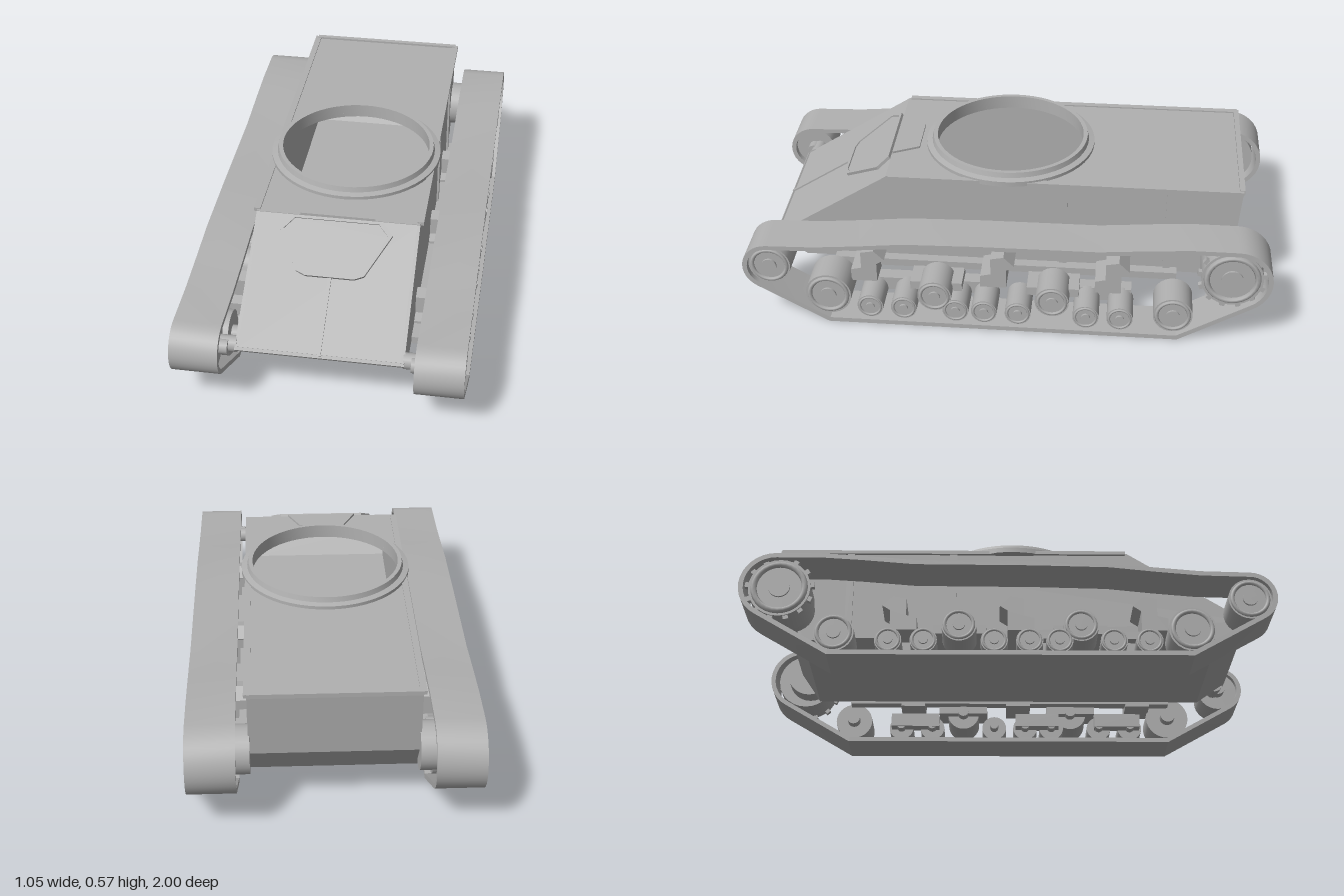
import * as THREE from 'three';
import { toCreasedNormals } from 'three/addons/utils/BufferGeometryUtils.js';

const steel = new THREE.MeshStandardMaterial({ color: 0xb0b0b0, side: THREE.DoubleSide });
steel.name = 'steel grey';

function add(parent, name, geometry) {
  const mesh = new THREE.Mesh(geometry, steel);
  mesh.name = name;
  parent.add(mesh);
  return mesh;
}

const toShape = (pts) => new THREE.Shape(pts.map(([a, b]) => new THREE.Vector2(a, b)));

// Extrude a (z, y) outline sideways from x0 to x1
function sideExtrude(shape, x0, x1) {
  const g = new THREE.ExtrudeGeometry(shape, { depth: x1 - x0, bevelEnabled: false, curveSegments: 32 });
  return g.rotateY(-Math.PI / 2).translate(x1, 0, 0);
}

// Cylinder lying along x
function drum(r, x0, x1, y, z, sides = 28) {
  return new THREE.CylinderGeometry(r, r, x1 - x0, sides)
    .rotateZ(Math.PI / 2).translate((x0 + x1) / 2, y, z);
}

function box(x0, x1, y0, y1, z0, z1) {
  return new THREE.BoxGeometry(x1 - x0, y1 - y0, z1 - z0)
    .translate((x0 + x1) / 2, (y0 + y1) / 2, (z0 + z1) / 2);
}

function buildHull() {
  const hull = new THREE.Group();
  hull.name = 'hull';
  const W = 0.305, T = 0.012, ringZ = 0.02;
  const profile = [[-0.88, 0.535], [-0.86, 0.28], [-0.78, 0.16], [0.8, 0.16], [0.92, 0.245], [0.47, 0.535]];

  // Side walls
  for (const s of [-1, 1]) {
    const x0 = s > 0 ? W - T : -W;
    add(hull, 'sideWall', sideExtrude(toShape(profile), x0, x0 + T));
    // Vertical joint strips and roof lip
    for (const z of [-0.21, -0.61]) add(hull, 'jointStrip', box(s * W - 0.008, s * W + 0.008, 0.17, 0.53, z - 0.014, z + 0.014));
    add(hull, 'roofLip', box(s * W - 0.012, s * W + 0.012, 0.528, 0.542, -0.88, 0.46));
  }

  // Rear, belly, nose and glacis plates follow the profile
  const names = ['rearPlate', 'lowerRearPlate', 'floorPlate', 'nosePlate', 'glacisPlate'];
  names.forEach((name, i) => {
    const [z0, y0] = profile[i], [z1, y1] = profile[i + 1];
    const g = new THREE.BoxGeometry(2 * W - 0.002, T, Math.hypot(z1 - z0, y1 - y0)).translate(0, T / 2, 0);
    g.rotateX(-Math.atan2(y1 - y0, z1 - z0)).translate(0, (y0 + y1) / 2, (z0 + z1) / 2);
    add(hull, name, g);
  });

  // Roof with the round turret opening (shape y becomes -z)
  const roof = toShape([[-W, -0.47], [W, -0.47], [W, 0.88], [-W, 0.88]]);
  roof.holes.push(new THREE.Path().absarc(0, -ringZ, 0.287, 0, Math.PI * 2, true));
  add(hull, 'roof', new THREE.ExtrudeGeometry(roof, { depth: T, bevelEnabled: false, curveSegments: 48 })
    .rotateX(-Math.PI / 2).translate(0, 0.525, 0));
  add(hull, 'rearRoofLip', box(-W, W, 0.53, 0.545, -0.885, -0.865));

  // Stepped turret ring
  const ring = [[0.287, 0.522], [0.33, 0.53], [0.33, 0.55], [0.308, 0.555], [0.303, 0.575], [0.287, 0.575], [0.287, 0.522]];
  add(hull, 'turretRing', toCreasedNormals(new THREE.LatheGeometry(
    ring.map(([r, y]) => new THREE.Vector2(r, y)), 56), 0.5).translate(0, 0, ringZ));

  // Driver's hatch and centre rib, laid on the sloped front
  const front = new THREE.Group();
  front.name = 'glacisFittings';
  front.position.set(0, 0.535, 0.47);
  front.rotation.x = -Math.atan2(0.45, 0.29);
  hull.add(front);
  const outline = [[-0.17, -0.005], [-0.21, -0.055], [-0.125, -0.22], [-0.09, -0.235],
    [0.09, -0.235], [0.125, -0.22], [0.21, -0.055], [0.17, -0.005]];
  const inner = outline.map(([x, y]) => [x * 0.92, -0.11 + (y + 0.11) * 0.9]);
  const frame = toShape(outline);
  frame.holes.push(toShape(inner));
  add(front, 'hatchFrame', new THREE.ExtrudeGeometry(frame, { depth: 0.012, bevelEnabled: false }));
  add(front, 'hatch', new THREE.ExtrudeGeometry(toShape(inner), { depth: 0.007, bevelEnabled: false }));
  add(front, 'centreRib', box(-0.007, 0.007, -0.53, -0.235, 0, 0.006));

  // Low hatch hood on the roof
  const hood = toShape([[-0.14, -0.47], [0.14, -0.47], [0.09, -0.37], [-0.09, -0.37]]);
  add(hull, 'hatchHood', new THREE.ExtrudeGeometry(hood, { depth: 0.01, bevelEnabled: false })
    .rotateX(-Math.PI / 2).translate(0, 0.535, 0));
  return hull;
}

// Closed track outline; inset shrinks it inward
function trackPath(inset) {
  const pts = [];
  const arc = (z, y, r, a0, a1) => {
    for (let i = 0; i <= 14; i++) {
      const a = THREE.MathUtils.degToRad(a0 + (a1 - a0) * i / 14);
      pts.push([z + (r - inset) * Math.cos(a), y + (r - inset) * Math.sin(a)]);
    }
  };
  arc(0.9, 0.24, 0.1, -60, 90);
  for (const [z, y] of [[0.72, 0.345], [0.55, 0.36], [0.38, 0.378], [0.1, 0.385], [-0.35, 0.388], [-0.55, 0.405], [-0.7, 0.415]])
    pts.push([z, y - inset]);
  arc(-0.865, 0.28, 0.135, 90, 240);
  pts.push([-0.66 + inset * 0.27, inset], [0.68 - inset * 0.27, inset]);
  return pts;
}

function buildRunningGear() {
  const gear = new THREE.Group();
  gear.name = 'runningGear';
  const X0 = 0.348, X1 = 0.525;

  // Track band
  const band = toShape(trackPath(0));
  band.holes.push(toShape(trackPath(0.018)));
  add(gear, 'track', toCreasedNormals(sideExtrude(band, X0, X1), 0.4));

  // Wheels: name, z, y, radius
  const wheels = [
    ['frontIdler', 0.9, 0.24, 0.081], ['driveSprocket', -0.85, 0.28, 0.116],
    ['frontGuideWheel', 0.68, 0.115, 0.088], ['rearGuideWheel', -0.64, 0.098, 0.075],
    ['supportRoller', 0.27, 0.13, 0.065], ['supportRoller', -0.18, 0.13, 0.065],
  ];
  for (const z of [0.52, 0.39, 0.19, 0.08, -0.05, -0.31, -0.44]) wheels.push(['roadWheel', z, 0.068, 0.05]);
  for (const [name, z, y, r] of wheels) {
    add(gear, name, drum(r, 0.37, 0.505, y, z));
    add(gear, name + 'Rim', new THREE.TorusGeometry(r * 0.82, r * 0.1, 6, 28).rotateY(Math.PI / 2).translate(0.505, y, z));
    add(gear, name + 'Hub', drum(r * 0.35, 0.33, 0.513, y, z, 16));
  }
  // Sprocket teeth and final drive
  for (let i = 0; i < 13; i++) {
    const tooth = new THREE.BoxGeometry(0.02, 0.02, 0.02).translate(0, 0.12, 0).rotateX(i * Math.PI * 2 / 13);
    add(gear, 'sprocketTooth', tooth.translate(0.49, 0.28, -0.85));
  }
  add(gear, 'finalDrive', drum(0.09, 0.3, 0.37, 0.28, -0.83));
  add(gear, 'idlerAxle', drum(0.03, 0.3, 0.37, 0.24, 0.88, 16));

  // Suspension brackets with a bent foot
  const foot = [[-0.06, 0.14], [0.04, 0.14], [0.04, 0.19], [0.0, 0.2], [0.0, 0.27], [-0.05, 0.28], [-0.09, 0.24], [-0.06, 0.22]];
  for (const z of [0.56, 0.06, -0.38])
    add(gear, 'suspensionBracket', sideExtrude(toShape(foot.map(([a, b]) => [z + a, b])), 0.3, 0.44));
  // Bogie beams and roller caps
  for (const [z0, z1] of [[0.37, 0.56], [0.04, 0.22], [-0.48, -0.28]])
    add(gear, 'bogieBeam', box(0.325, 0.38, 0.06, 0.115, z0, z1));
  for (const z of [0.27, -0.18])
    add(gear, 'rollerCap', box(0.335, 0.45, 0.12, 0.155, z - 0.1, z + 0.1));
  add(gear, 'suspensionRail', box(0.3, 0.345, 0.15, 0.18, -0.65, 0.68));
  return gear;
}

export function createModel() {
  const model = new THREE.Group();
  model.name = 'trackedHull';
  model.add(buildHull());
  // Left and right running gear; half turn plus flip keeps the layout mirrored
  const left = buildRunningGear();
  left.name = 'leftRunningGear';
  const right = buildRunningGear();
  right.name = 'rightRunningGear';
  right.scale.x = -1;
  model.add(left, right);
  return model;
}
